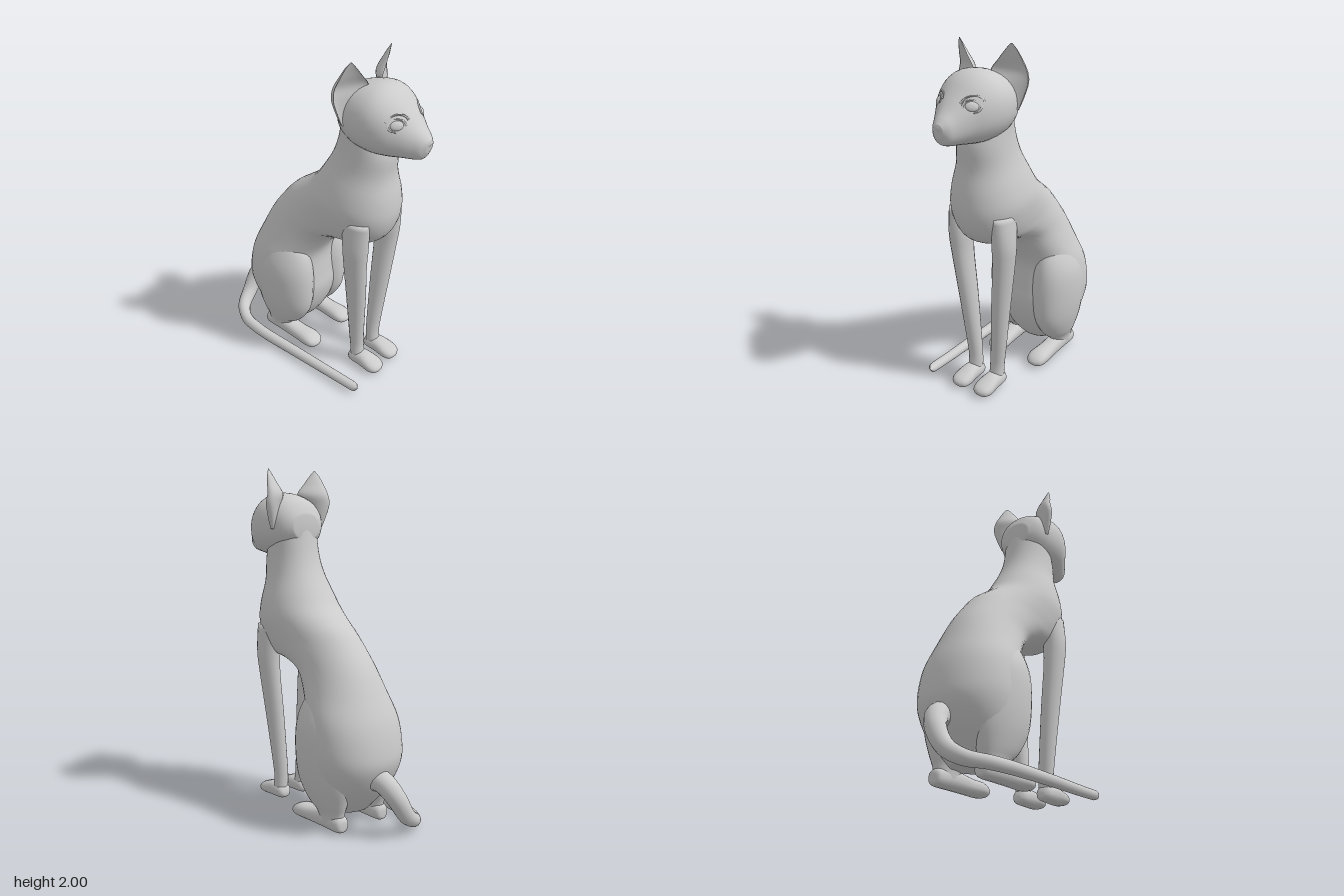
import * as THREE from 'three';

const material = new THREE.MeshStandardMaterial({ color: 0xcccccc });
const spline = (a, b, c, d, t) =>
  0.5 * (2 * b + (c - a) * t + (2 * a - 5 * b + 4 * c - d) * t * t + (3 * b - a - 3 * c + d) * t * t * t);

function addMesh(parent, name, geometry) {
  const mesh = new THREE.Mesh(geometry, material);
  mesh.name = name;
  parent.add(mesh);
  return mesh;
}

// Skins rings given as [z1, y1, z2, y2, halfWidth, centreX]: two opposite points in the side plane and a width.
// hollow scales the second half of each ring (negative gives a crescent), skew slants the ring in z along x.
function loft(rings, { sides = 28, steps = 4, power = 2, hollow = 1, skew = 0, mirror = 1 } = {}) {
  const n = rings.length - 1, pos = [], idx = [];
  const at = (i) => rings[Math.min(Math.max(i, 0), n)];
  const count = n * steps + 1;
  const centres = [];
  for (let r = 0; r < count; r++) {
    const i = Math.min(Math.floor(r / steps), n - 1), t = r / steps - i;
    const v = (k) => spline(at(i - 1)[k] ?? 0, at(i)[k] ?? 0, at(i + 1)[k] ?? 0, at(i + 2)[k] ?? 0, t);
    const [z1, y1, z2, y2, w, cx] = [0, 1, 2, 3, 4, 5].map(v);
    centres.push([cx * mirror, (y1 + y2) / 2, (z1 + z2) / 2]);
    for (let j = 0; j < sides; j++) {
      const a = (j / sides) * Math.PI * 2;
      const round = (q) => Math.sign(q) * Math.abs(q) ** (2 / power);
      let c = round(Math.cos(a));
      if (c < 0) c *= hollow;
      const x = round(Math.sin(a)) * w;
      pos.push(cx * mirror + x, (y1 + y2) / 2 + (c * (y1 - y2)) / 2,
        (z1 + z2) / 2 + (c * (z1 - z2)) / 2 + x * skew * mirror);
    }
  }
  pos.push(...centres[0], ...centres[count - 1]);
  const first = count * sides, last = first + 1;
  for (let j = 0; j < sides; j++) {
    const k = (j + 1) % sides, end = (count - 1) * sides;
    for (let r = 0; r < count - 1; r++) {
      const a = r * sides + j, b = r * sides + k;
      idx.push(a, a + sides, b + sides, a, b + sides, b);
    }
    idx.push(first, j, k, last, end + k, end + j);
  }
  const g = new THREE.BufferGeometry();
  g.setAttribute('position', new THREE.Float32BufferAttribute(pos, 3));
  g.setIndex(idx);
  g.computeVertexNormals();
  return g;
}

// Tapered tail that leaves the rump, drops and runs forward along the right side
function tailGeometry() {
  const path = new THREE.CatmullRomCurve3([
    [0.03, 0.32, -0.44], [0.02, 0.31, -0.53], [-0.02, 0.23, -0.59], [-0.09, 0.12, -0.6], [-0.18, 0.06, -0.57],
    [-0.25, 0.046, -0.48], [-0.277, 0.043, -0.35], [-0.281, 0.043, 0], [-0.278, 0.04, 0.3], [-0.278, 0.04, 0.47],
  ].map((p) => new THREE.Vector3(...p)));
  const n = 90, sides = 14;
  const g = new THREE.TubeGeometry(path, n, 1, sides, false);
  const p = g.attributes.position, v = new THREE.Vector3();
  for (let i = 0; i <= n; i++) {
    const u = i / n, c = path.getPointAt(u);
    const tip = Math.sqrt(Math.max(0, 1 - Math.max(0, (u - 0.975) / 0.025) ** 2));
    const radius = (u < 0.35 ? THREE.MathUtils.lerp(0.068, 0.036, u / 0.35) : THREE.MathUtils.lerp(0.036, 0.028, (u - 0.35) / 0.65)) * tip;
    for (let j = 0; j <= sides; j++) {
      const k = i * (sides + 1) + j;
      v.fromBufferAttribute(p, k).sub(c).multiplyScalar(radius).add(c);
      p.setXYZ(k, v.x, v.y, v.z);
    }
  }
  return g;
}

// Almond eye with a raised rim and a brow line
function addEye(parent, s) {
  const eye = new THREE.Group();
  eye.name = s > 0 ? 'leftEye' : 'rightEye';
  eye.position.set(0.107 * s, 1.72, 0.508);
  eye.lookAt(0.107 * s + 0.62 * s, 1.72 + 0.36, 0.508 + 0.7);
  addMesh(eye, 'eyeball', new THREE.SphereGeometry(1, 20, 12)).scale.set(0.036, 0.026, 0.014);
  addMesh(eye, 'eyeRim', new THREE.TorusGeometry(0.04, 0.005, 8, 28)).scale.set(1.15, 0.8, 1);
  const brow = addMesh(eye, 'brow', new THREE.TorusGeometry(0.06, 0.005, 8, 24, Math.PI * 0.75));
  brow.rotation.z = Math.PI * 0.125;
  brow.scale.set(1.1, 0.85, 1);
  parent.add(eye);
}

export function createModel() {
  const model = new THREE.Group();
  model.name = 'sittingCat';
  const cat = new THREE.Group();
  cat.name = 'catBody';
  cat.position.x = 0.022;
  model.add(cat);

  // Torso from neck to rump: front point, back point, half width
  addMesh(cat, 'torso', loft([
    [0.38, 1.64, 0.14, 1.72, 0.14], [0.43, 1.49, 0.11, 1.54, 0.147], [0.43, 1.35, 0.07, 1.42, 0.165],
    [0.455, 1.22, 0, 1.3, 0.203], [0.46, 1.1, -0.06, 1.22, 0.222], [0.425, 0.99, -0.15, 1.15, 0.213],
    [0.35, 0.92, -0.23, 1.09, 0.2], [0.22, 0.9, -0.3, 1.01, 0.195], [0.1, 0.86, -0.38, 0.9, 0.2],
    [0.02, 0.77, -0.45, 0.76, 0.228], [-0.04, 0.65, -0.51, 0.62, 0.265], [-0.035, 0.5, -0.54, 0.48, 0.28],
    [-0.025, 0.38, -0.54, 0.38, 0.272], [-0.05, 0.26, -0.49, 0.27, 0.24], [-0.1, 0.16, -0.42, 0.17, 0.18],
    [-0.16, 0.09, -0.36, 0.1, 0.11],
  ], { sides: 40, power: 2.15 }));

  // Head from nape to nose: top point, bottom point, half width
  addMesh(cat, 'head', loft([
    [0.13, 1.74, 0.13, 1.6, 0.09], [0.18, 1.82, 0.18, 1.55, 0.15], [0.27, 1.86, 0.27, 1.51, 0.187],
    [0.37, 1.873, 0.37, 1.5, 0.196], [0.45, 1.84, 0.45, 1.505, 0.172], [0.52, 1.77, 0.52, 1.515, 0.125],
    [0.58, 1.705, 0.58, 1.522, 0.083], [0.62, 1.668, 0.615, 1.535, 0.058], [0.645, 1.64, 0.637, 1.575, 0.028],
  ], { sides: 36, power: 2.15 }));
  const nose = addMesh(cat, 'nose', new THREE.SphereGeometry(1, 16, 12));
  nose.position.set(0, 1.625, 0.629);
  nose.scale.set(0.03, 0.024, 0.018);

  for (const s of [1, -1]) {
    const side = s > 0 ? 'left' : 'right';
    const add = (name, rings, options) => addMesh(cat, side + name, loft(rings, { mirror: s, ...options }));
    addEye(cat, s);

    // Cupped ear, base to tip
    add('Ear', [
      [0.22, 1.66, 0.26, 1.66, 0.012, 0.17], [0.205, 1.72, 0.29, 1.72, 0.04, 0.165],
      [0.195, 1.8, 0.31, 1.8, 0.07, 0.157], [0.2, 1.86, 0.31, 1.86, 0.08, 0.138],
      [0.225, 1.92, 0.3, 1.92, 0.052, 0.152], [0.25, 1.97, 0.285, 1.97, 0.025, 0.163],
      [0.268, 2, 0.274, 2, 0.004, 0.167],
    ], { hollow: -0.35, skew: -0.55 });

    // Slender front leg with paw
    add('FrontLeg', [
      [0.4, 1.1, 0.22, 1.1, 0.05, 0.15], [0.395, 0.94, 0.235, 0.94, 0.063, 0.152],
      [0.383, 0.8, 0.24, 0.8, 0.058, 0.145], [0.365, 0.55, 0.243, 0.55, 0.053, 0.118],
      [0.34, 0.25, 0.25, 0.25, 0.046, 0.09], [0.335, 0.13, 0.255, 0.13, 0.044, 0.08],
      [0.35, 0.04, 0.26, 0.03, 0.045, 0.08],
    ], { sides: 18 });
    add('FrontPaw', [
      [0.245, 0.05, 0.245, 0.025, 0.02, 0.08], [0.27, 0.09, 0.27, 0.008, 0.046, 0.08],
      [0.35, 0.1, 0.35, 0.004, 0.053, 0.08], [0.42, 0.08, 0.42, 0.004, 0.06, 0.08],
      [0.46, 0.063, 0.46, 0.01, 0.047, 0.08], [0.477, 0.045, 0.477, 0.028, 0.016, 0.08],
    ], { sides: 18, power: 2.3 });

    // Thigh bulging from the rump, narrowing to the hock
    add('Thigh', [
      [-0.13, 0.78, -0.28, 0.78, 0.03, 0.165], [-0.06, 0.7, -0.36, 0.7, 0.09, 0.155],
      [-0.025, 0.58, -0.41, 0.58, 0.13, 0.155], [-0.018, 0.42, -0.43, 0.42, 0.133, 0.155],
      [-0.035, 0.28, -0.42, 0.28, 0.115, 0.155], [-0.1, 0.17, -0.39, 0.17, 0.085, 0.152],
      [-0.17, 0.11, -0.37, 0.11, 0.06, 0.15], [-0.2, 0.05, -0.36, 0.05, 0.05, 0.15],
    ]);
    add('HindFoot', [
      [-0.382, 0.07, -0.382, 0.025, 0.02, 0.15], [-0.36, 0.1, -0.36, 0.008, 0.046, 0.15],
      [-0.25, 0.115, -0.25, 0.006, 0.052, 0.15], [-0.12, 0.095, -0.12, 0.005, 0.055, 0.15],
      [-0.03, 0.088, -0.03, 0.004, 0.062, 0.15], [0.02, 0.068, 0.02, 0.01, 0.05, 0.15],
      [0.042, 0.045, 0.042, 0.028, 0.016, 0.15],
    ], { sides: 18, power: 2.3 });
  }

  addMesh(model, 'tail', tailGeometry());
  return model;
}
